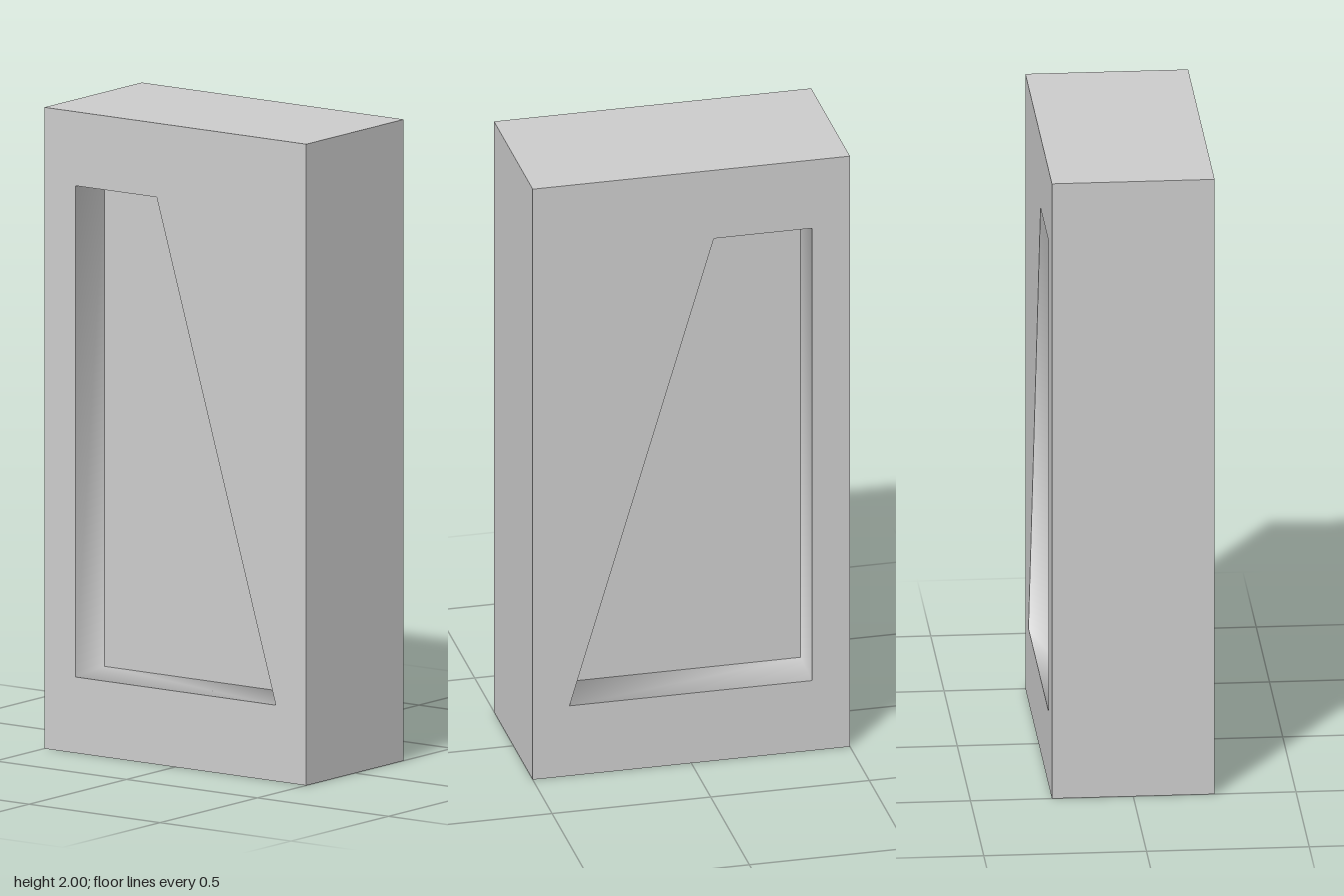
import * as THREE from 'three';

const HALF_WIDTH = 0.25, FLOOR_X = 0.1;
// Recess corners as [z, y], at the rim and at the floor (the sill rises slightly inwards)
const rim = [[0.384, 0.237], [-0.381, 0.237], [-0.381, 1.769], [-0.071, 1.769]];
const floor = [[0.384, 0.247], [-0.381, 0.247], [-0.381, 1.769], [-0.071, 1.769]];
const outline = [[0.5, 0], [-0.5, 0], [-0.5, 2], [0.5, 2]];

export function createModel() {
  const group = new THREE.Group();
  const material = new THREE.MeshStandardMaterial({ color: 0xcccccc });
  const add = (name, geometry) => {
    const mesh = new THREE.Mesh(geometry, material);
    mesh.name = name;
    group.add(mesh);
  };

  // Front, back, top and bottom of the block, without its two recessed sides
  const shell = new THREE.BoxGeometry(HALF_WIDTH * 2, 2, 1);
  shell.setIndex(Array.from(shell.index.array).slice(12));
  shell.clearGroups();
  shell.translate(0, 1, 0);
  add('blockShell', shell);

  for (const [side, s] of [['left', 1], ['right', -1]]) {
    const toPoints = (list) => list.map(([z, y]) => new THREE.Vector2(-s * z, y));
    const flat = (shape, x) =>
      new THREE.ShapeGeometry(shape).rotateY(s * Math.PI / 2).translate(s * x, 0, 0);

    // Side face with the recess opening cut out
    const face = new THREE.Shape(toPoints(outline));
    face.holes.push(new THREE.Path(toPoints(rim)));
    add(side + 'Face', flat(face, HALF_WIDTH));

    // Sunken panel
    add(side + 'RecessFloor', flat(new THREE.Shape(toPoints(floor)), FLOOR_X));

    // Recess walls, sharing corners so they shade smoothly around the loop
    const positions = [], indices = [];
    rim.forEach(([z, y], i) => {
      positions.push(s * HALF_WIDTH, y, z, s * FLOOR_X, floor[i][1], floor[i][0]);
      const a = 2 * i, b = 2 * ((i + 1) % rim.length);
      const quad = [a, b, b + 1, a, b + 1, a + 1];
      indices.push(...(s > 0 ? quad : quad.reverse()));
    });
    const walls = new THREE.BufferGeometry();
    walls.setAttribute('position', new THREE.Float32BufferAttribute(positions, 3));
    walls.setIndex(indices);
    walls.computeVertexNormals();
    add(side + 'RecessWalls', walls);
  }
  return group;
}
